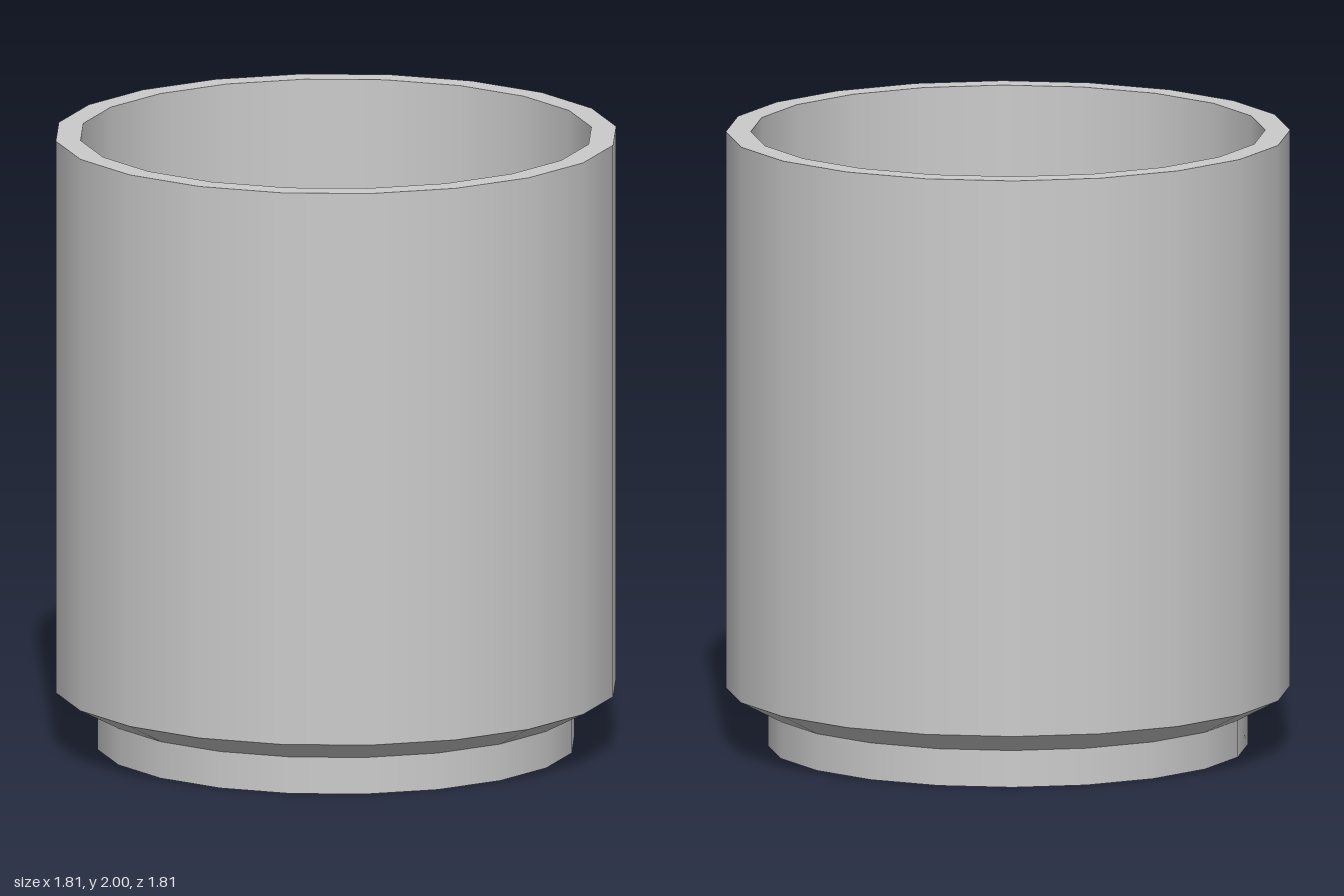
import * as THREE from 'three';

const SIDES = 20;
const OUTER = 0.905, INNER = 0.825, FOOT = 0.77;
const HEIGHT = 2, FOOT_TOP = 0.12, BODY_BASE = 0.19, FLOOR = 0.2;

export function createModel() {
  const cup = new THREE.Group();
  cup.name = 'cup';
  const smooth = new THREE.MeshStandardMaterial({ color: 0xcccccc });
  const faceted = new THREE.MeshStandardMaterial({ color: 0xcccccc, flatShading: true });

  // One ring of faces between two profile points, so edges between rings stay sharp
  function band(name, from, to, material = smooth) {
    const profile = [new THREE.Vector2(...from), new THREE.Vector2(...to)];
    const mesh = new THREE.Mesh(new THREE.LatheGeometry(profile, SIDES), material);
    mesh.name = name;
    cup.add(mesh);
  }

  // Outside, from the base upwards
  band('footBase', [0, 0], [FOOT, 0]);
  band('footWall', [FOOT, 0], [FOOT, FOOT_TOP]);
  band('bevel', [FOOT, FOOT_TOP], [OUTER, BODY_BASE], faceted);
  band('outerWall', [OUTER, BODY_BASE], [OUTER, HEIGHT]);

  // Rim and hollow inside, from the top downwards
  band('rim', [OUTER, HEIGHT], [INNER, HEIGHT]);
  band('innerWall', [INNER, HEIGHT], [INNER, FLOOR]);
  band('innerFloor', [INNER, FLOOR], [0, FLOOR]);

  return cup;
}
